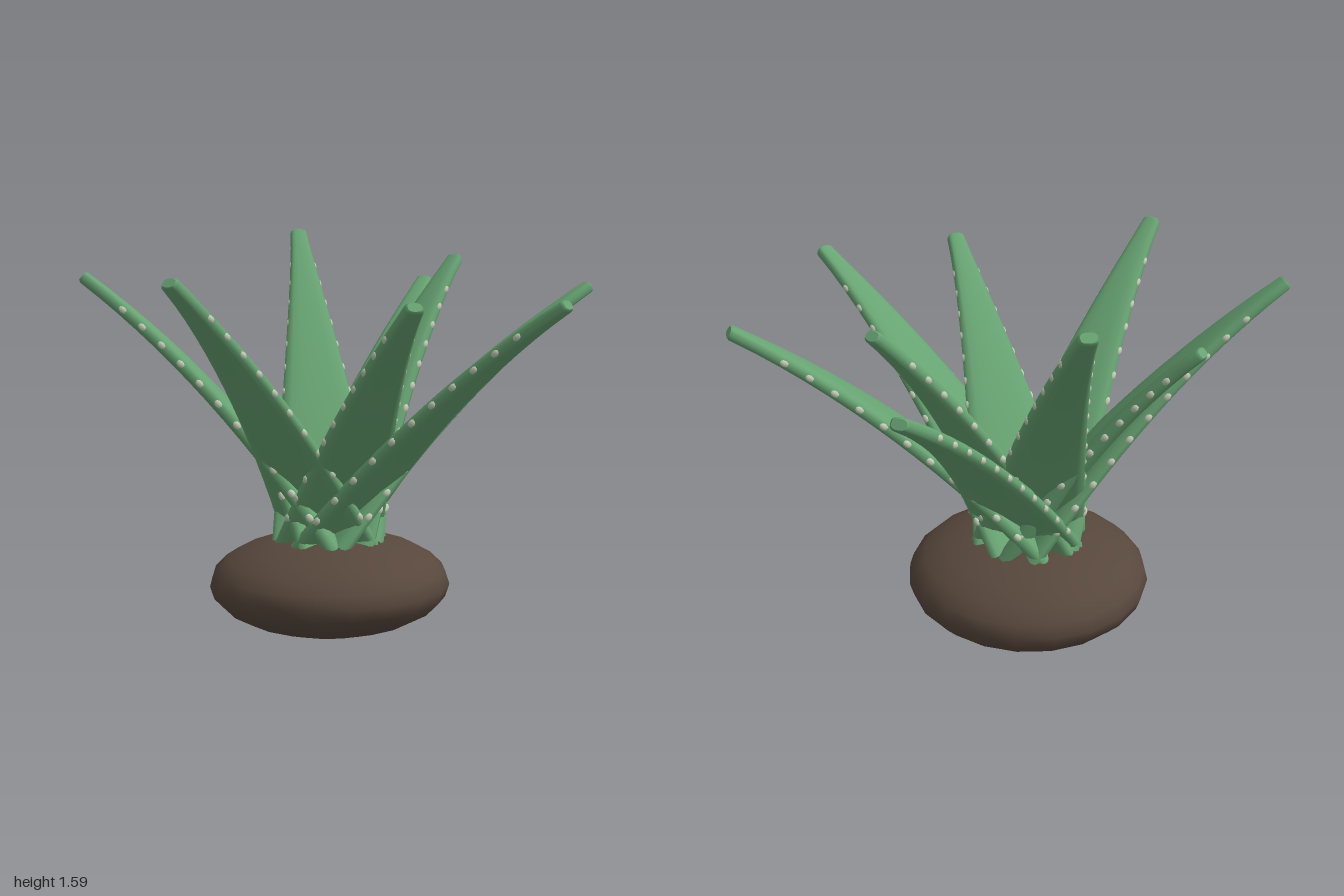
import * as THREE from 'three';
import { mergeGeometries } from 'three/addons/utils/BufferGeometryUtils.js';

const CX = -0.055, CZ = -0.185, BASE_Y = 0.37;

// Tip of every leaf: x, y, z
const TIPS = [
  [-0.74, 1.41, -0.82], [-0.225, 1.29, -0.82], [0.465, 1.575, -0.865],
  [0.975, 1.365, -0.56], [0.735, 1.47, -0.19], [0.87, 1.36, 0.395],
  [0.03, 1.33, 0.865], [-0.45, 1.33, 0.585], [-0.98, 1.41, -0.03],
];

const halfWidth = t => 0.035 + 0.195 * Math.pow(1 - t, 1.2);
const halfThick = t => 0.024 + 0.018 * (1 - t);

// Arching centre line with a side and a normal direction at any point
function makeSpine([x, y, z]) {
  const base = new THREE.Vector3(CX, BASE_Y, CZ);
  const tip = new THREE.Vector3(x, y, z);
  const bend = new THREE.Vector3(
    CX + 0.47 * (x - CX), BASE_Y + 0.63 * (y - BASE_Y), CZ + 0.47 * (z - CZ));
  const curve = new THREE.QuadraticBezierCurve3(base, bend, tip);
  const side = new THREE.Vector3(z - CZ, 0, -(x - CX)).normalize();
  return t => {
    const along = curve.getTangent(t);
    return { p: curve.getPoint(t), along, side, up: along.clone().cross(side) };
  };
}

// Tapering blade swept from flattened, rounded cross-sections
function leafGeometry(spine) {
  const N = 16, ROWS = 14, pos = [], idx = [];
  const ring = (t, scale, push) => {
    const { p, along, side, up } = spine(t);
    for (let j = 0; j < N; j++) {
      const a = (j / N) * Math.PI * 2, c = Math.cos(a), s = Math.sin(a);
      const u = Math.sign(c) * Math.pow(Math.abs(c), 0.8) * halfWidth(t) * scale;
      const v = Math.sign(s) * Math.pow(Math.abs(s), 0.65) * halfThick(t) * scale;
      const q = p.clone().addScaledVector(side, u).addScaledVector(up, v)
        .addScaledVector(along, push);
      pos.push(q.x, q.y, q.z);
    }
  };
  for (let i = 0; i <= ROWS; i++) ring(i / ROWS, 1, 0);
  ring(1, 0.75, 0.01);
  for (let i = 0; i <= ROWS; i++) {
    for (let j = 0; j < N; j++) {
      const a = i * N + j, b = i * N + (j + 1) % N;
      idx.push(a, b, b + N, a, b + N, a + N);
    }
  }
  // Flat ends use their own rings so they stay crisp
  const capTip = pos.length / 3;
  ring(1, 0.75, 0.01);
  const capBase = pos.length / 3;
  ring(0, 1, 0);
  for (let j = 1; j < N - 1; j++) {
    idx.push(capTip, capTip + j, capTip + j + 1, capBase, capBase + j + 1, capBase + j);
  }
  const g = new THREE.BufferGeometry();
  g.setAttribute('position', new THREE.Float32BufferAttribute(pos, 3));
  g.setIndex(idx);
  g.computeVertexNormals();
  return g;
}

// Row of pale spots set into both edges of a blade
function spotsGeometry(spine) {
  const parts = [];
  for (let i = 0; i < 11; i++) {
    const t = 0.1 + i * 0.075;
    const { p, along, side, up } = spine(t);
    for (const m of [-1, 1]) {
      const g = new THREE.SphereGeometry(1, 8, 6);
      g.scale(0.012, 0.02, 0.014);
      const q = p.clone().addScaledVector(side, m * (halfWidth(t) - 0.007));
      g.applyMatrix4(new THREE.Matrix4().makeBasis(side, along, up.clone().negate()
        .multiplyScalar(-Math.sign(side.clone().cross(along).dot(up)))).setPosition(q));
      // Keep the triangles facing outward whichever way the frame turns
      parts.push(g);
    }
  }
  return mergeGeometries(parts);
}

export function createModel() {
  const model = new THREE.Group();
  model.name = 'succulentPlant';

  const mat = (name, color) => {
    const m = new THREE.MeshStandardMaterial({ color });
    m.name = name;
    return m;
  };
  const green = mat('leafGreen', 0x67a372);
  const pale = mat('paleSpot', 0xc0cdb4);
  const brown = mat('soilBrown', 0x57473c);
  pale.side = green.side = THREE.DoubleSide;

  // Squashed mound of soil
  const soil = new THREE.Mesh(new THREE.SphereGeometry(1, 20, 12), brown);
  soil.name = 'soilMound';
  soil.scale.set(0.478, 0.198, 0.478);
  soil.position.set(CX, 0.203, CZ);
  model.add(soil);

  // Rosette of leaves
  TIPS.forEach((tip, i) => {
    const spine = makeSpine(tip);
    const leaf = new THREE.Group();
    leaf.name = `leaf${i + 1}`;
    const blade = new THREE.Mesh(leafGeometry(spine), green);
    blade.name = 'blade';
    const spots = new THREE.Mesh(spotsGeometry(spine), pale);
    spots.name = 'edgeSpots';
    leaf.add(blade, spots);
    model.add(leaf);
  });
  return model;
}
